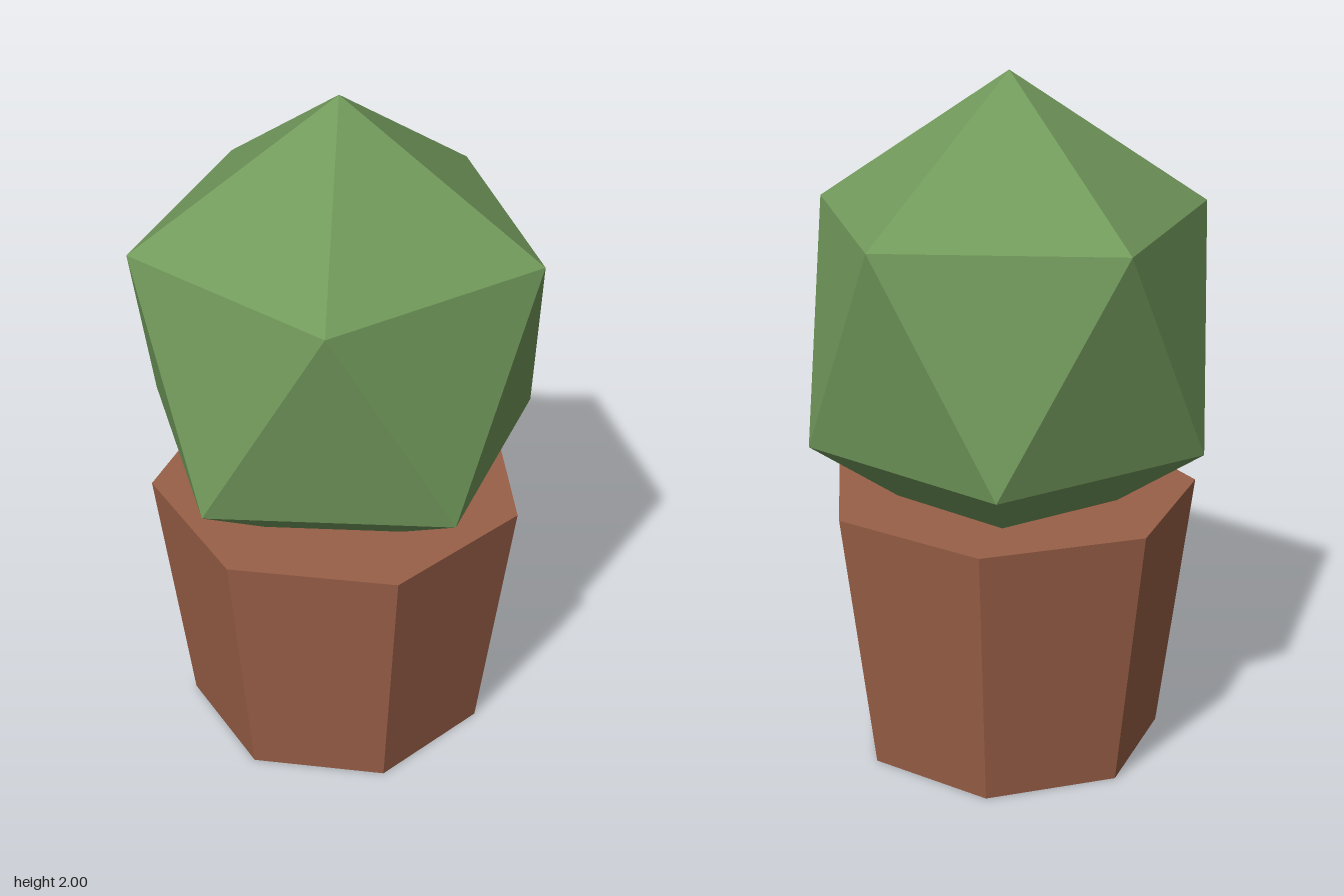
import * as THREE from 'three';

export function createModel() {
  const group = new THREE.Group();
  const terracotta = new THREE.MeshStandardMaterial({ color: 0x9a6047, flatShading: true });
  terracotta.name = 'terracotta';
  const leafGreen = new THREE.MeshStandardMaterial({ color: 0x729a5c, flatShading: true });
  leafGreen.name = 'leaf green';

  // Seven-sided tapered pot with a flat top, one corner on +x
  const potHeight = 0.785;
  const potGeometry = new THREE.CylinderGeometry(0.55, 0.45, potHeight, 7, 1, false, Math.PI / 2);
  const pot = new THREE.Mesh(potGeometry, terracotta);
  pot.name = 'pot';
  pot.position.y = potHeight / 2;

  // Faceted plant: icosahedron stood on a corner and stretched upwards
  const golden = (1 + Math.sqrt(5)) / 2;
  const plantGeometry = new THREE.IcosahedronGeometry(0.655, 0);
  plantGeometry.rotateZ(-Math.atan(1 / golden));
  plantGeometry.scale(1, 1.1, 1);
  const plant = new THREE.Mesh(plantGeometry, leafGreen);
  plant.name = 'plant';
  plant.position.y = 2 - 0.655 * 1.1;

  group.add(pot, plant);
  return group;
}
